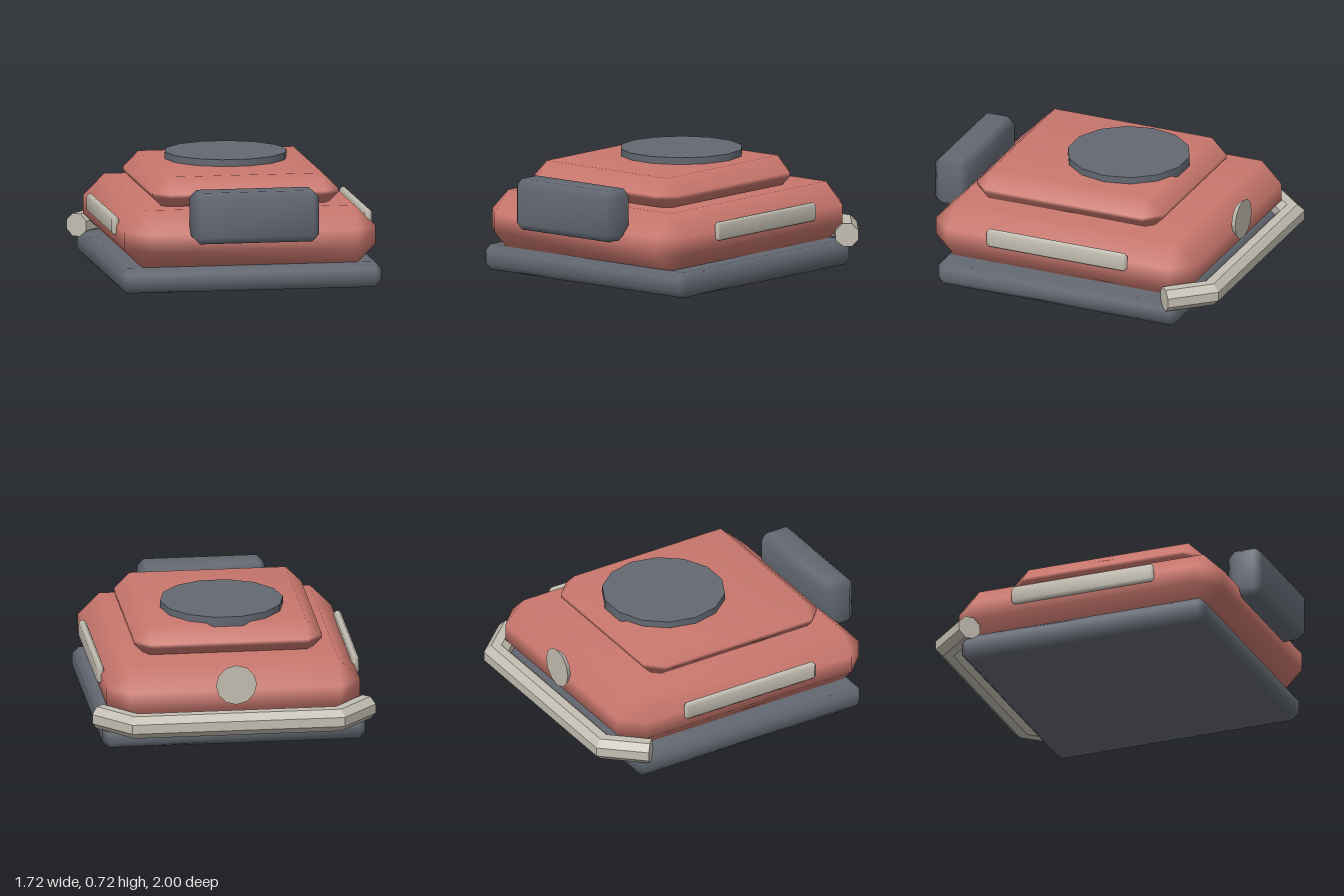
import * as THREE from 'three';
import { mergeVertices, toCreasedNormals } from 'three/addons/utils/BufferGeometryUtils.js';
import { ConvexGeometry } from 'three/addons/geometries/ConvexGeometry.js';

const paint = (name, color) => {
  const m = new THREE.MeshStandardMaterial({ color });
  m.name = name;
  return m;
};

// Box with every edge cut at 45 degrees, shaded smoothly over the bevels
function bevelBox([x0, x1], [y0, y1], [z0, z1], bevel) {
  const half = [(x1 - x0) / 2, (y1 - y0) / 2, (z1 - z0) / 2];
  const points = [];
  for (const sx of [-1, 1]) for (const sy of [-1, 1]) for (const sz of [-1, 1]) {
    const sign = [sx, sy, sz];
    for (let axis = 0; axis < 3; axis++) {
      points.push(new THREE.Vector3(
        ...sign.map((s, i) => s * (half[i] - (i === axis ? 0 : bevel)))));
    }
  }
  let geo = new ConvexGeometry(points);
  geo.deleteAttribute('normal');
  geo = mergeVertices(geo, 1e-4);
  geo.computeVertexNormals();
  return geo.translate((x0 + x1) / 2, (y0 + y1) / 2, (z0 + z1) / 2);
}

// Octagonal bar bent around the rear corners with mitred joints
function bumperBar() {
  const geo = new THREE.CylinderGeometry(0.075, 0.075, 3, 8, 3, false, Math.PI / 8);
  const pos = geo.attributes.position;
  for (let i = 0; i < pos.count; i++) {
    const station = pos.getY(i), out = pos.getZ(i), up = pos.getX(i);
    const side = Math.sign(station);
    const tip = Math.abs(station) > 1;
    const x = tip ? 0.81 + 0.742 * out : 0.615 + 0.445 * out;
    const z = tip ? -0.715 - 0.67 * out : -0.931 - out;
    pos.setXYZ(i, side * x, 0.19 + up, z);
  }
  return toCreasedNormals(geo, 0.5);
}

export function createModel() {
  const model = new THREE.Group();
  model.name = 'vehicle';
  const red = paint('red body', 0xc9776d);
  const dark = paint('dark grey', 0x636872);
  const pale = paint('pale trim', 0xc4bfb3);

  const add = (name, geo, material) => {
    const mesh = new THREE.Mesh(geo, material);
    mesh.name = name;
    model.add(mesh);
    return mesh;
  };

  // Stacked hull
  add('base', bevelBox([-0.8, 0.8], [0, 0.155], [-0.785, 0.8], 0.04), dark);
  add('body', bevelBox([-0.77, 0.77], [0.13, 0.5], [-0.85, 0.865], 0.13), red);
  add('upperDeck', bevelBox([-0.57, 0.57], [0.46, 0.675], [-0.56, 0.668], 0.096), red);

  // Round roof hatch
  const hatch = new THREE.CylinderGeometry(0.373, 0.373, 0.06, 14, 1, false, Math.PI / 2);
  add('roofHatch', toCreasedNormals(hatch, 0.6), dark).position.set(0, 0.687, -0.125);

  // Block on the nose
  add('frontBlock', bevelBox([-0.385, 0.385], [0.32, 0.632], [0.78, 1], 0.042), dark);

  // Side trim strips
  for (const side of [-1, 1]) {
    const xs = side > 0 ? [0.752, 0.798] : [-0.798, -0.752];
    add(side > 0 ? 'leftStrip' : 'rightStrip',
      bevelBox(xs, [0.312, 0.424], [-0.453, 0.468], 0.016), pale);
  }

  // Axles whose rims just break the base bevels
  for (const z of [0.58, -0.52]) {
    const axle = new THREE.CylinderGeometry(0.068, 0.068, 1.544, 12).rotateZ(Math.PI / 2);
    add(z > 0 ? 'frontAxle' : 'rearAxle', axle, pale).position.set(0, 0.0775, z);
  }

  // Rear bumper and flared rear lamp
  add('rearBumper', bumperBar(), pale);
  const lamp = new THREE.CylinderGeometry(0.098, 0.124, 0.035, 12).rotateX(Math.PI / 2);
  add('rearLamp', toCreasedNormals(lamp, 0.6), pale).position.set(0, 0.411, -0.8625);

  return model;
}
